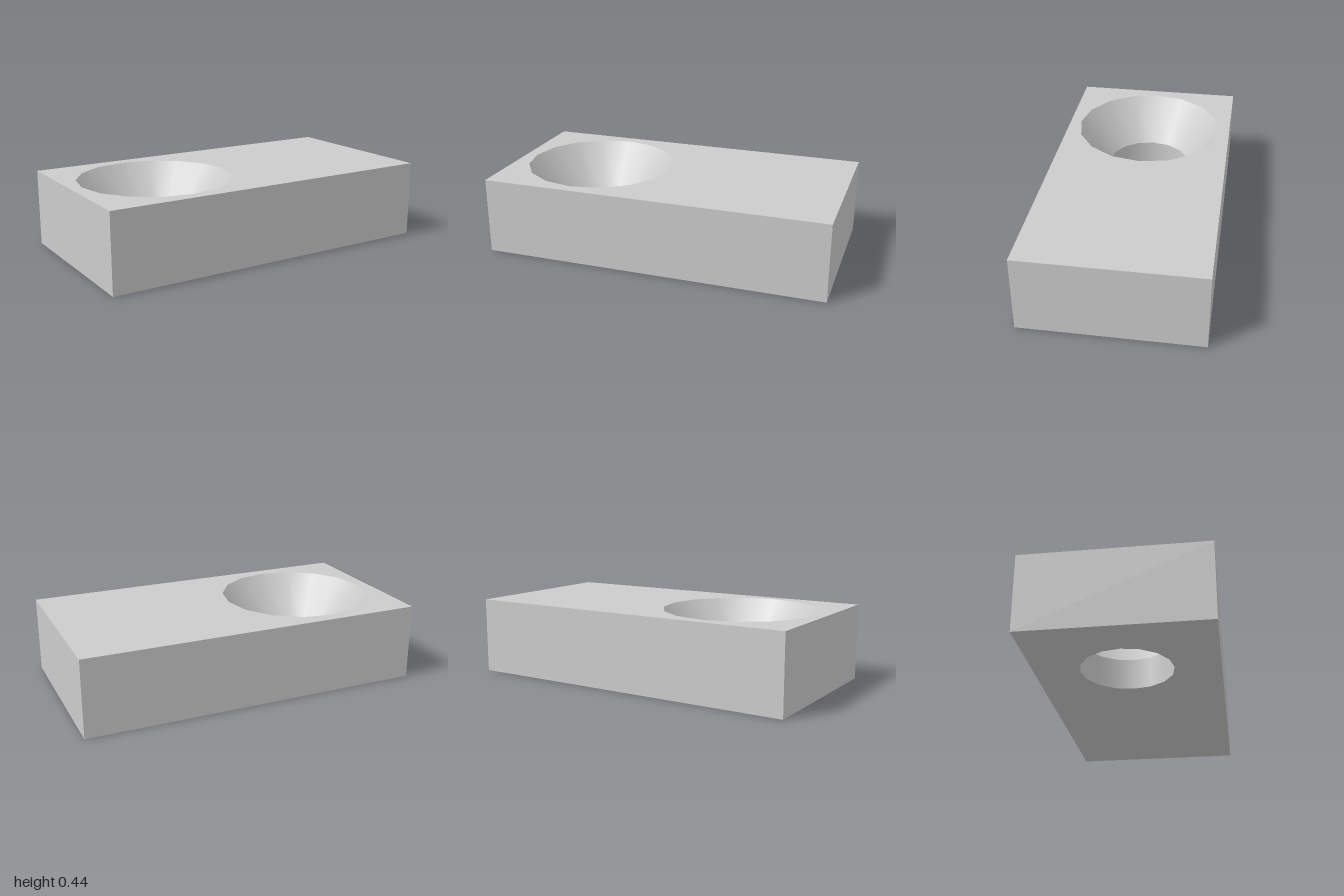
import * as THREE from 'three';

const W = 2, H = 0.445, D = 1.02;          // block size
const HOLE_X = -0.49, SIDES = 16;          // countersunk hole
const R_TOP = 0.443, R_BOTTOM = 0.257, BORE = 0.18;

const grey = new THREE.MeshStandardMaterial({ color: 0xcccccc });
grey.name = 'grey';

// rectangular face with a polygonal hole, lying in the xy plane
function holedFace(radius) {
  const x = W / 2, y = D / 2;
  const shape = new THREE.Shape([[-x, -y], [x, -y], [x, y], [-x, y]].map(p => new THREE.Vector2(...p)));
  const ring = Array.from({ length: SIDES }, (_, i) => {
    const a = -i / SIDES * Math.PI * 2;
    return new THREE.Vector2(HOLE_X + radius * Math.cos(a), radius * Math.sin(a));
  });
  shape.holes.push(new THREE.Path(ring));
  return new THREE.ShapeGeometry(shape);
}

// inward-facing ring wall, profile running downwards
function holeWall(r0, y0, r1, y1) {
  const profile = [new THREE.Vector2(r0, y0), new THREE.Vector2(r1, y1)];
  return new THREE.LatheGeometry(profile, SIDES).translate(HOLE_X, 0, 0);
}

export function createModel() {
  const model = new THREE.Group();
  model.name = 'countersunkBlock';
  const add = (name, geometry) => {
    const mesh = new THREE.Mesh(geometry, grey);
    mesh.name = name;
    model.add(mesh);
  };

  // top and bottom faces
  add('topFace', holedFace(R_TOP).rotateX(-Math.PI / 2).translate(0, H, 0));
  add('bottomFace', holedFace(R_BOTTOM).rotateX(Math.PI / 2));

  // four outer walls
  ['frontWall', 'leftWall', 'backWall', 'rightWall'].forEach((name, i) => {
    const [width, offset] = i % 2 ? [D, W / 2] : [W, D / 2];
    add(name, new THREE.PlaneGeometry(width, H).translate(0, H / 2, offset).rotateY(i * Math.PI / 2));
  });

  // conical countersink above a straight bore
  add('countersink', holeWall(R_TOP, H, R_BOTTOM, BORE));
  add('bore', holeWall(R_BOTTOM, BORE, R_BOTTOM, 0));
  return model;
}
